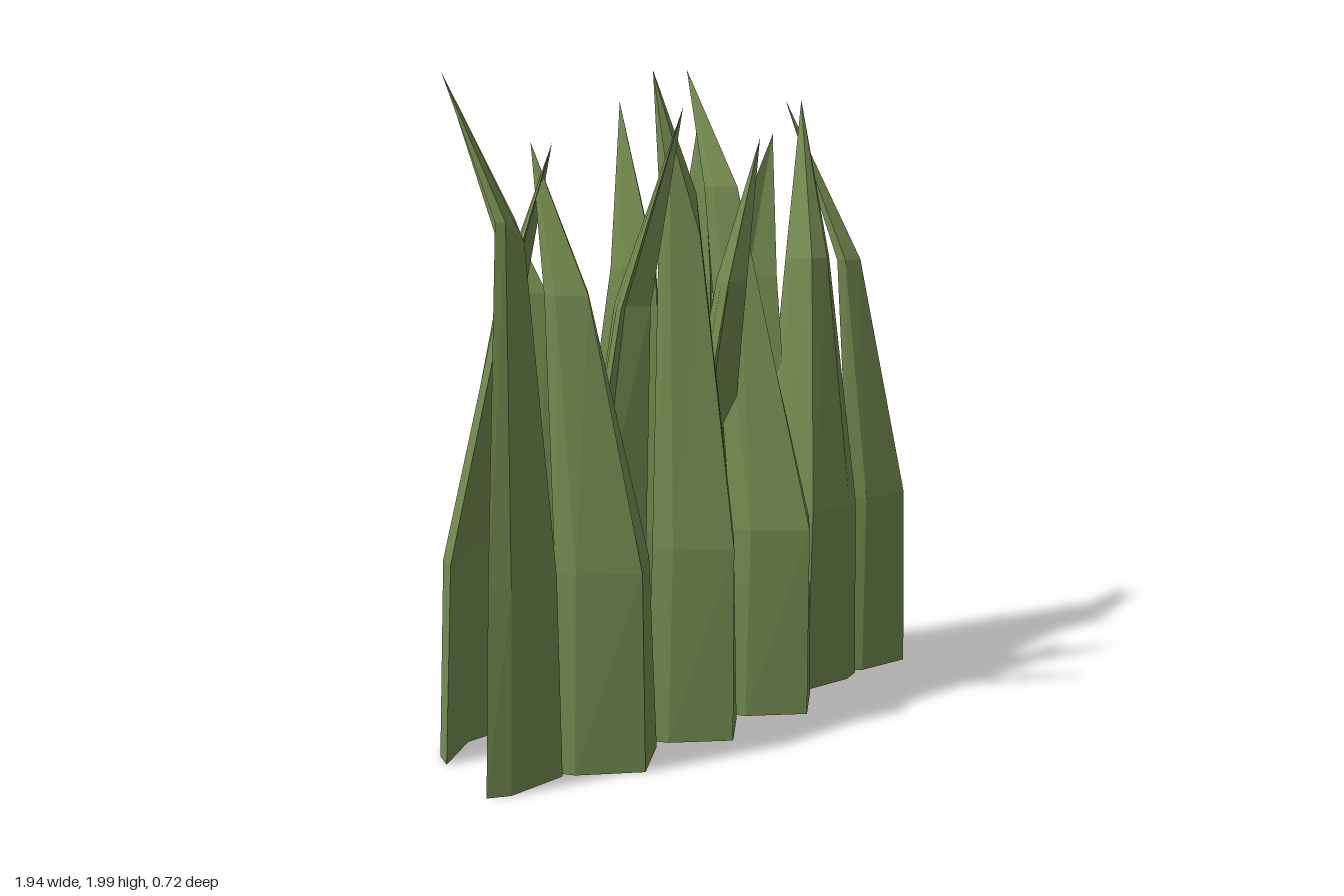
import * as THREE from 'three';

const grass = new THREE.MeshStandardMaterial({ color: 0x748b50, flatShading: true });
grass.name = 'grass green';

// A folded, thick leaf: three outer base points [x, z] (edge, ridge, edge),
// the centre of the upper section [x, y, z], its scale, and the tip [x, y, z].
// droop lowers the ridge of the upper section.
function bladeGeometry({ base, mid, scale, tip, droop = 0 }) {
  const [a, ridge, b] = base.map(([x, z]) => new THREE.Vector2(x, z));
  const inward = a.clone().add(b).multiplyScalar(0.5).sub(ridge).normalize();
  const along = b.clone().sub(a).normalize();
  // The inner edges flare outwards from the outer ones
  const innerPoint = (p, depth, flare) => p.clone().addScaledVector(inward, depth).addScaledVector(along, flare);
  const section = [a, ridge, b, innerPoint(b, 0.06, 0.03), innerPoint(ridge, 0.085, 0), innerPoint(a, 0.06, -0.03)];
  const cx = section.reduce((s, p) => s + p.x, 0) / 6;
  const cz = section.reduce((s, p) => s + p.y, 0) / 6;

  const rings = [
    section.map((p) => [p.x, 0.01, p.y]),
    section.map((p) => [cx + (mid[0] - cx) * 0.15 + (p.x - cx) * 0.88, 0.6, p.y]),
    section.map((p, i) => [
      mid[0] + (p.x - cx) * scale,
      mid[1] - (i === 1 ? droop : 0),
      mid[2] + (p.y - cz) * scale * 1.5,
    ]),
  ];
  const pos = [];
  const tri = (...corners) => corners.forEach((c) => pos.push(...c));
  const quad = (p, q, r, s) => { tri(p, q, r); tri(p, r, s); };

  for (let i = 0; i < 6; i++) {
    const j = (i + 1) % 6;
    for (let r = 0; r < 2; r++) quad(rings[r][i], rings[r][j], rings[r + 1][j], rings[r + 1][i]);
    tri(rings[2][i], rings[2][j], tip);
  }
  // Underside
  const f = rings[0];
  quad(f[0], f[5], f[4], f[1]);
  quad(f[1], f[4], f[3], f[2]);

  const g = new THREE.BufferGeometry();
  g.setAttribute('position', new THREE.Float32BufferAttribute(pos, 3));
  g.computeVertexNormals();
  return g;
}

// Blades folded towards the front, listed from -x to +x
const frontBlades = [
  { base: [[-0.91, 0.22], [-0.71, 0.21], [-0.61, 0.06]], mid: [-0.81, 1.6, 0.13], scale: 0.35, tip: [-0.9, 2, -0.04], droop: 0.06 },
  { base: [[-0.68, 0.23], [-0.52, 0.355], [-0.35, 0.23]], mid: [-0.58, 1.38, 0.13], scale: 0.38, tip: [-0.59, 1.8, -0.03] },
  { base: [[-0.3, 0.23], [-0.15, 0.355], [0, 0.23]], mid: [-0.14, 1.64, 0.14], scale: 0.37, tip: [-0.17, 2, 0.04], droop: 0.12 },
  { base: [[0.04, 0.23], [0.19, 0.355], [0.35, 0.23]], mid: [0.215, 1.64, -0.03], scale: 0.32, tip: [0.26, 2, -0.24] },
  { base: [[0.32, 0.06], [0.37, 0.2], [0.55, 0.22]], mid: [0.52, 1.4, 0.06], scale: 0.35, tip: [0.67, 1.9, -0.11] },
  { base: [[0.66, 0.195], [0.85, 0.22], [0.96, 0.05]], mid: [0.735, 1.38, 0.04], scale: 0.33, tip: [0.67, 1.9, -0.18] },
];

// Middle blades folded forwards but leaning backwards
const middleBlades = [
  { base: [[-0.59, -0.03], [-0.47, 0.05], [-0.36, -0.12]], mid: [-0.51, 1.36, -0.13], scale: 0.4, tip: [-0.6, 1.9, -0.36] },
  { base: [[-0.3, -0.1], [-0.15, 0.05], [-0.04, -0.02]], mid: [-0.07, 1.4, -0.12], scale: 0.38, tip: [0.02, 1.9, -0.3] },
  { base: [[0, -0.15], [0.1, 0], [0.26, -0.09]], mid: [0.19, 1.35, -0.12], scale: 0.38, tip: [0.25, 1.88, -0.17] },
];

// Back blades folded backwards and leaning forwards, points from +x to -x
const backBlades = [
  { base: [[-0.58, -0.26], [-0.71, -0.29], [-0.85, -0.17]], mid: [-0.65, 1.35, -0.07], scale: 0.4, tip: [-0.58, 1.8, 0.05] },
  { base: [[-0.22, -0.01], [-0.32, -0.12], [-0.44, -0.02]], mid: [-0.345, 1.32, 0.11], scale: 0.4, tip: [-0.35, 1.9, 0.34] },
  { base: [[0.12, 0], [0.03, -0.07], [-0.06, 0.02]], mid: [0.025, 1.37, 0.17], scale: 0.42, tip: [0.08, 1.8, 0.24] },
  { base: [[0.55, -0.03], [0.54, -0.19], [0.36, -0.27]], mid: [0.36, 1.35, -0.06], scale: 0.4, tip: [0.35, 1.8, 0.05] },
];

export function createModel() {
  const model = new THREE.Group();
  model.name = 'grassClump';
  for (const [name, blades] of Object.entries({ frontBlade: frontBlades, middleBlade: middleBlades, backBlade: backBlades })) {
    blades.forEach((spec, i) => {
      const blade = new THREE.Mesh(bladeGeometry(spec), grass);
      blade.name = `${name}${i + 1}`;
      model.add(blade);
    });
  }
  return model;
}
